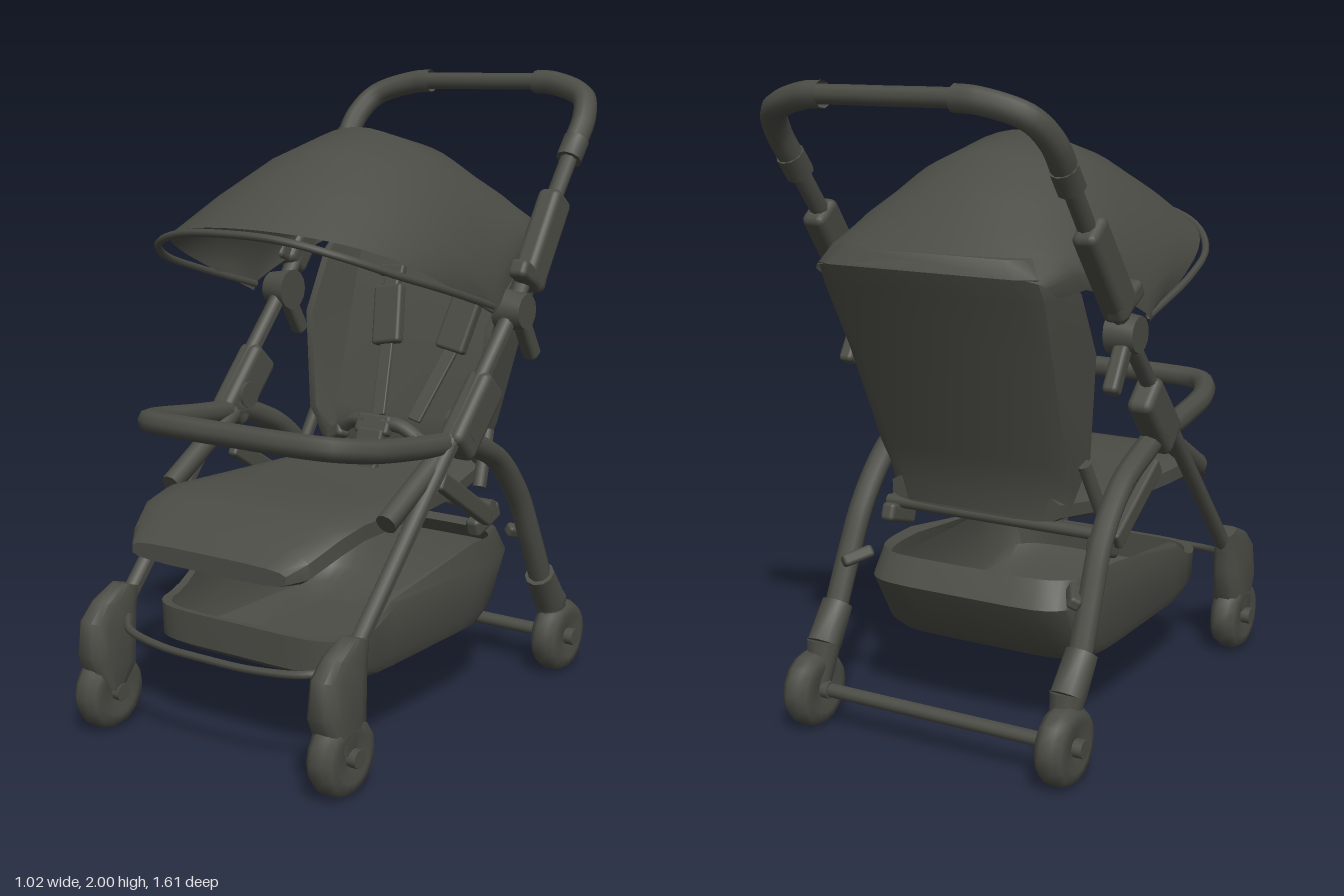
import * as THREE from 'three';
import { toCreasedNormals } from 'three/addons/utils/BufferGeometryUtils.js';
import { RoundedBoxGeometry } from 'three/addons/geometries/RoundedBoxGeometry.js';

const charcoal = new THREE.MeshStandardMaterial({ color: 0x4c4c46, side: THREE.DoubleSide });
charcoal.name = 'charcoal';
const V = (p) => new THREE.Vector3(...p);
const UP = new THREE.Vector3(0, 1, 0);

export function createModel() {
  const model = new THREE.Group();
  model.name = 'stroller';

  const add = (name, geo, pos = [0, 0, 0]) => {
    const m = new THREE.Mesh(geo, charcoal);
    m.name = name;
    m.position.set(...pos);
    model.add(m);
    return m;
  };
  // place a y-aligned geometry between two points
  const between = (name, geo, a, b) => {
    const m = add(name, geo, V(a).add(V(b)).multiplyScalar(0.5).toArray());
    m.quaternion.setFromUnitVectors(UP, V(b).sub(V(a)).normalize());
  };
  const length = (a, b) => V(a).distanceTo(V(b));
  const rod = (name, a, b, r1, r2 = r1, n = 10) =>
    between(name, toCreasedNormals(new THREE.CylinderGeometry(r2, r1, length(a, b), n), 0.9), a, b);
  const beam = (name, a, b, w, d) =>
    between(name, new RoundedBoxGeometry(w, length(a, b), d, 2, Math.min(w, d) * 0.3), a, b);
  const tube = (name, pts, r, n = 8) =>
    add(name, new THREE.TubeGeometry(new THREE.CatmullRomCurve3(pts.map(V)), pts.length * 5, r, n));
  // mirror a half path that ends on the centre plane
  const mirrored = (half) => [...half, ...half.slice(0, -1).reverse().map(([x, y, z]) => [-x, y, z])];

  // skin a row of sections, each a list of points
  const loft = (name, sections, closed = true, capEnd = closed) => {
    const n = sections[0].length, idx = [];
    for (let i = 0; i < sections.length - 1; i++) {
      for (let j = 0; j < (closed ? n : n - 1); j++) {
        const a = i * n + j, b = i * n + (j + 1) % n;
        idx.push(a, b, b + n, a, b + n, a + n);
      }
    }
    // cap in the plane of x and the wider of y and z
    const cap = (row, flip) => {
      const s = sections[row];
      const span = (k) => Math.max(...s.map((p) => p[k])) - Math.min(...s.map((p) => p[k]));
      const k = span(2) > span(1) ? 2 : 1;
      for (const t of THREE.ShapeUtils.triangulateShape(s.map((p) => new THREE.Vector2(p[0], p[k])), [])) {
        const f = t.map((v) => v + row * n);
        idx.push(...(flip ? f.reverse() : f));
      }
    };
    if (closed) cap(0, true);
    if (capEnd) cap(sections.length - 1, false);
    const g = new THREE.BufferGeometry();
    g.setAttribute('position', new THREE.Float32BufferAttribute(sections.flat(2), 3));
    g.setIndex(idx);
    add(name, toCreasedNormals(g, 0.8));
  };
  // rounded rectangle factors
  const ring = (n, p) => Array.from({ length: n }, (_, i) => {
    const t = ((i + 0.5) / n) * Math.PI * 2, c = Math.cos(t), s = Math.sin(t);
    return [Math.sign(c) * Math.abs(c) ** p, Math.sign(s) * Math.abs(s) ** p];
  });

  // canopy: arches running from front lip to rear edge
  // apex z, apex y, end z, end y, half width, roundness
  const ribs = [
    [0.57, 1.56, -0.07, 1.28, 0.46, 0.4], [0.4, 1.67, -0.08, 1.28, 0.465, 0.62],
    [0.2, 1.77, -0.09, 1.29, 0.47, 0.95], [-0.02, 1.83, -0.11, 1.31, 0.47, 1.25],
    [-0.25, 1.78, -0.16, 1.34, 0.455, 1.1], [-0.42, 1.67, -0.25, 1.38, 0.44, 0.7],
    [-0.55, 1.56, -0.4, 1.42, 0.415, 0.45], [-0.63, 1.48, -0.52, 1.41, 0.39, 0.3],
  ];
  loft('canopy', ribs.map(([za, ya, ze, ye, w, p]) => Array.from({ length: 33 }, (_, i) => {
    const t = (i / 16 - 1) * Math.PI / 2, k = Math.max(0, Math.cos(t)) ** p;
    return [w * Math.sin(t), ye + (ya - ye) * k, ze + (za - ze) * k];
  })), false);
  tube('visorRim', mirrored([[0.46, 1.3, -0.08], [0.465, 1.38, 0.2], [0.43, 1.44, 0.4],
    [0.33, 1.5, 0.54], [0.18, 1.54, 0.61], [0, 1.55, 0.63]]), 0.012, 6);

  // backrest: U-shaped sections with side wings
  const backRows = [ // y, back z, wing z, half width
    [0.7, -0.335, -0.29, 0.3], [0.78, -0.34, -0.25, 0.315], [0.88, -0.375, -0.22, 0.34],
    [1.2, -0.5, -0.235, 0.365], [1.4, -0.59, -0.37, 0.385], [1.47, -0.625, -0.45, 0.38], [1.52, -0.6, -0.48, 0.33],
  ];
  loft('backrest', backRows.map(([y, zb, zw, w]) => {
    const inner = Math.min(zb + 0.07, zw - 0.01);
    const half = [[w - 0.07, zb], [w - 0.015, zb + 0.03], [w, zw], [w - 0.025, zw], [w - 0.05, inner]];
    return [...half, ...half.slice().reverse().map(([x, z]) => [-x, z])].map(([x, z]) => [x, y, z]);
  }));

  // seat cushion with the drooping leg rest
  const seatRows = [ // z, top, bottom, half width
    [-0.33, 0.78, 0.69, 0.3], [-0.1, 0.745, 0.66, 0.33], [0.3, 0.75, 0.65, 0.37],
    [0.48, 0.755, 0.65, 0.38], [0.58, 0.735, 0.625, 0.37], [0.68, 0.68, 0.575, 0.33], [0.735, 0.635, 0.58, 0.29],
  ];
  loft('seat', seatRows.map(([z, top, bot, w]) => ring(16, 0.5).map(([c, s]) =>
    [w * c, (top + bot) / 2 + s * (top - bot) / 2, z])));

  // storage basket, open at the top
  const basketRows = [ // y, front z, back z, half width
    [0.22, 0.3, -0.2, 0.26], [0.25, 0.53, -0.29, 0.36], [0.29, 0.6, -0.34, 0.375],
    [0.45, 0.6, -0.43, 0.385], [0.53, 0.6, -0.38, 0.375], [0.51, 0.58, -0.36, 0.355],
  ];
  loft('basket', basketRows.map(([y, zf, zb, w]) => ring(36, 0.32).map(([c, s]) => {
    const z = (zf + zb) / 2 + s * (zf - zb) / 2;
    return [w * c, Math.min(y, 0.53 - 0.14 * Math.min(1, Math.max(0, (z - 0.24) / 0.2))), z];
  })), true, false);

  // push handle
  tube('handle', mirrored([[0.45, 1.28, -0.22], [0.45, 1.55, -0.425], [0.45, 1.75, -0.58],
    [0.448, 1.85, -0.66], [0.41, 1.92, -0.725], [0.28, 1.96, -0.762], [0.2, 1.963, -0.766], [0, 1.963, -0.766]]), 0.028);

  // bumper bar
  tube('bumperBar', mirrored([[0.43, 0.9, 0.05], [0.42, 0.92, 0.28], [0.4, 0.945, 0.48],
    [0.34, 0.963, 0.59], [0.2, 0.967, 0.62], [0, 0.967, 0.62]]), 0.036);

  // cross members
  tube('frontBar', mirrored([[0.4, 0.35, 0.64], [0.34, 0.335, 0.7], [0.18, 0.325, 0.74], [0, 0.325, 0.75]]), 0.013, 6);
  rod('rearAxle', [-0.51, 0.12, -0.57], [0.51, 0.12, -0.57], 0.022);
  rod('seatCrossbar', [-0.4, 0.64, -0.2], [0.4, 0.64, -0.2], 0.02);

  // wheel: tyre with rounded shoulders
  const tyre = new THREE.LatheGeometry([[0.02, -0.035], [0.075, -0.048], [0.105, -0.043], [0.12, -0.02],
    [0.12, 0.02], [0.105, 0.043], [0.075, 0.048], [0.02, 0.035]].map(([x, y]) => new THREE.Vector2(x, y)), 16);
  tyre.rotateZ(Math.PI / 2);

  // parts repeated on each side
  for (const s of [1, -1]) {
    const P = (x, y, z) => [s * x, y, z];

    rod('mainStrut', P(0.43, 0.36, 0.64), P(0.45, 1.3, -0.24), 0.027);
    tube('gripSleeve', [P(0.45, 1.75, -0.58), P(0.448, 1.85, -0.66), P(0.41, 1.915, -0.72),
      P(0.28, 1.958, -0.76), P(0.21, 1.963, -0.765)], 0.039, 10);
    rod('gripCollar', P(0.45, 1.72, -0.557), P(0.45, 1.78, -0.605), 0.043);

    // upper lock sleeve, canopy clamp and pivot
    beam('lockSleeve', P(0.465, 1.34, -0.27), P(0.455, 1.61, -0.47), 0.08, 0.11);
    beam('canopyClamp', P(0.47, 1.41, -0.2), P(0.47, 1.34, -0.34), 0.065, 0.06);
    rod('canopyPivot', P(0.41, 1.27, -0.22), P(0.5, 1.27, -0.22), 0.068, 0.055, 14);
    beam('pivotTab', P(0.46, 1.24, -0.25), P(0.46, 1.11, -0.33), 0.05, 0.05);

    // folding hinge
    beam('foldHinge', P(0.44, 0.88, 0.1), P(0.445, 1.07, -0.08), 0.085, 0.13);
    rod('hingeBoss', P(0.39, 0.95, 0.04), P(0.485, 0.95, 0.04), 0.045);
    rod('seatLink', P(0.41, 0.72, 0.42), P(0.42, 0.9, 0.1), 0.034);
    beam('foldLink', P(0.4, 0.79, 0.12), P(0.4, 0.61, -0.17), 0.035, 0.06);
    beam('seatBracket', P(0.37, 0.575, -0.12), P(0.37, 0.62, -0.26), 0.05, 0.06);
    rod('reclineStrut', P(0.36, 0.7, -0.18), P(0.34, 0.87, -0.26), 0.022);

    // rear leg
    tube('rearLeg', [P(0.43, 0.92, 0.1), P(0.43, 0.87, -0.04), P(0.425, 0.8, -0.18),
      P(0.425, 0.66, -0.31), P(0.43, 0.5, -0.39), P(0.435, 0.3, -0.48)], 0.038);
    rod('rearFoot', P(0.435, 0.36, -0.45), P(0.432, 0.25, -0.53), 0.05, 0.055);
    rod('rearWheelArm', P(0.432, 0.26, -0.53), P(0.43, 0.11, -0.57), 0.055, 0.035);
    beam('basketHanger', P(0.36, 0.52, -0.36), P(0.41, 0.5, -0.45), 0.04, 0.04);

    // front fork housing, wider over the wheel
    const fork = [[0.13, 0.71, 0.052, 0.035], [0.22, 0.7, 0.054, 0.1], [0.33, 0.69, 0.048, 0.1],
      [0.39, 0.66, 0.042, 0.075], [0.44, 0.61, 0.034, 0.035]]; // y, z, half width, half depth
    loft('frontFork', fork.map(([y, z, w, d]) => ring(12, 0.6).map(([c, k]) =>
      [s * 0.437 + w * c, y + 0.3 * d * k, z + d * k])));

    // wheels and hubs
    for (const [name, z] of [['frontWheel', 0.69], ['rearWheel', -0.57]]) {
      add(name, tyre, P(0.443, 0.12, z));
      rod(name + 'Hub', P(0.38, 0.12, z), P(0.51, 0.12, z), 0.028);
    }

    // harness
    beam('shoulderPad', P(0.125, 1.09, -0.37), P(0.16, 1.28, -0.44), 0.11, 0.04);
    beam('upperStrap', P(0.158, 1.26, -0.44), P(0.17, 1.34, -0.49), 0.06, 0.03);
    beam('strapBuckle', P(0.168, 1.31, -0.46), P(0.17, 1.345, -0.475), 0.1, 0.03);
    beam('lowerStrap', P(0.07, 0.87, -0.24), P(0.13, 1.1, -0.38), 0.05, 0.015);
    tube('waistStrap', [P(0.03, 0.88, -0.12), P(0.1, 0.87, -0.13), P(0.2, 0.8, -0.15)], 0.025, 6);
    beam('waistBuckle', P(0.13, 0.84, -0.13), P(0.2, 0.8, -0.15), 0.05, 0.05);
  }
  beam('crotchStrap', [0, 0.73, -0.05], [0, 0.86, -0.1], 0.1, 0.03);
  beam('harnessBuckle', [0, 0.84, -0.1], [0, 0.9, -0.13], 0.13, 0.04);
  return model;
}
